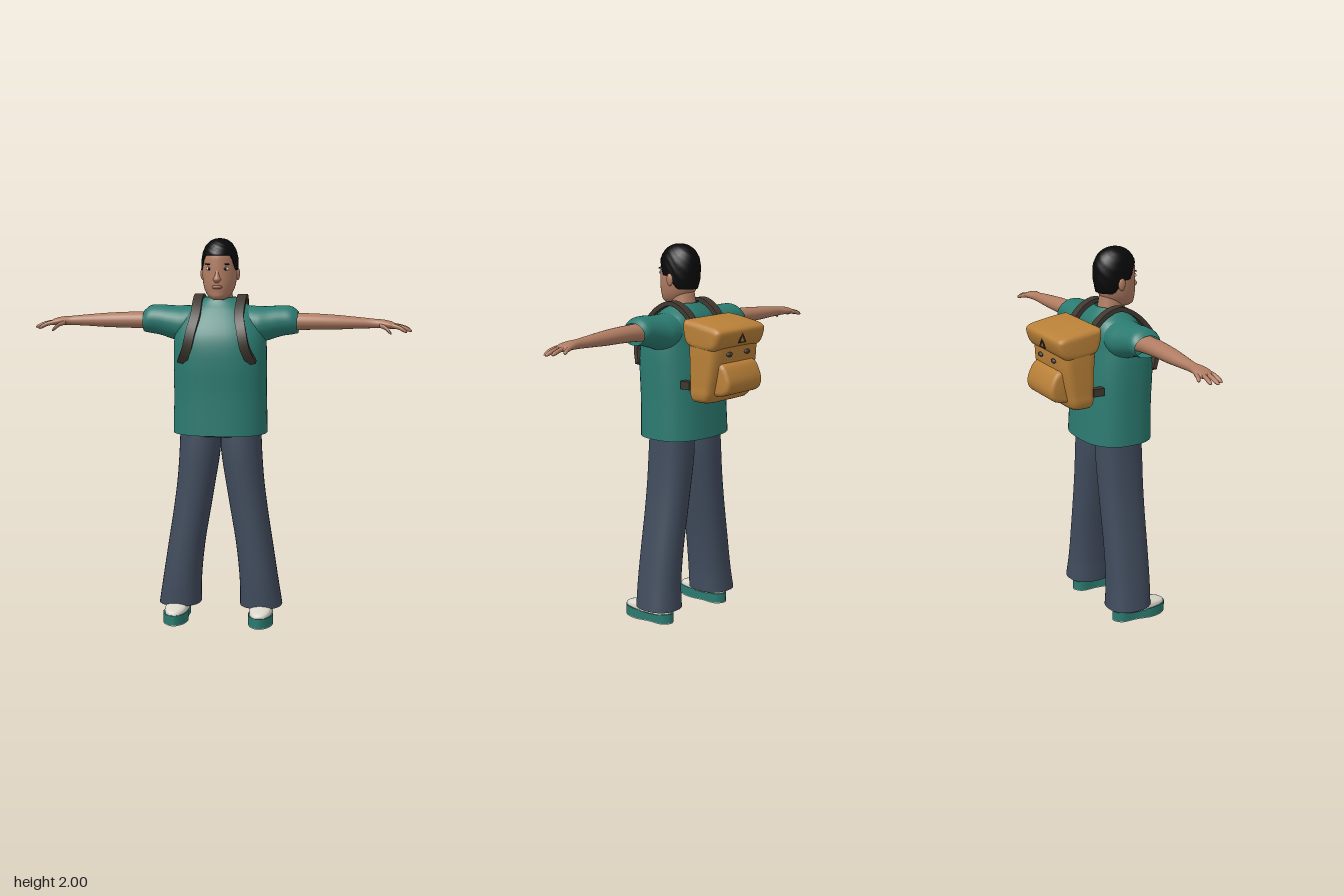
import * as THREE from 'three';
import { toCreasedNormals } from 'three/addons/utils/BufferGeometryUtils.js';

const material = (name, color, side = THREE.FrontSide) => {
  const m = new THREE.MeshStandardMaterial({ color, side });
  m.name = name;
  return m;
};

// Axis order per loft direction: [along, u, v]
const AXES = { x: [0, 2, 1], y: [1, 0, 2] };

// Smooth loft through superellipse sections [position, centreU, centreV, radiusU, radiusV, exponent]
function loft(axis, sections, { caps = true, sides = 32, steps = 4 } = {}) {
  const [A, U, V] = AXES[axis];
  const spline = new THREE.CubicInterpolant(
    new Float32Array(sections.map(s => s[0])),
    new Float32Array(sections.flatMap(s => [s[1], s[2], s[3], s[4], s[5] || 2])), 5);
  const pos = [], index = [];
  const put = (a, u, v) => { const p = []; p[A] = a; p[U] = u; p[V] = v; pos.push(...p); };
  const power = (c, e) => Math.sign(c) * Math.abs(c) ** (2 / e);
  const rows = (sections.length - 1) * steps;
  for (let i = 0; i <= rows; i++) {
    const k = Math.min(Math.floor(i / steps), sections.length - 2);
    const a = THREE.MathUtils.lerp(sections[k][0], sections[k + 1][0], i / steps - k);
    const [cu, cv, ru, rv, e] = spline.evaluate(a);
    for (let j = 0; j < sides; j++) {
      const t = (j / sides) * Math.PI * 2;
      put(a, cu + ru * power(Math.cos(t), e), cv + rv * power(Math.sin(t), e));
    }
  }
  for (let i = 0; i < rows; i++) for (let j = 0; j < sides; j++) {
    const a = i * sides + j, b = i * sides + (j + 1) % sides, c = a + sides, d = b + sides;
    index.push(a, c, b, b, c, d);
  }
  if (caps) for (const [row, s] of [[0, sections[0]], [rows, sections.at(-1)]]) {
    const centre = pos.length / 3;
    put(s[0], s[1], s[2]);
    for (let j = 0; j < sides; j++) {
      const a = row * sides + j, b = row * sides + (j + 1) % sides;
      index.push(centre, ...(row ? [b, a] : [a, b]));
    }
  }
  return finish(pos, index);
}

function finish(pos, index) {
  const g = new THREE.BufferGeometry();
  g.setAttribute('position', new THREE.Float32BufferAttribute(pos, 3));
  g.setIndex(index);
  g.computeVertexNormals();
  return g;
}

// Copy across x = 0 with the corner order reversed
function mirrored(geo) {
  const g = geo.index ? geo.toNonIndexed() : geo.clone();
  g.scale(-1, 1, 1);
  const n = g.attributes.position.count, index = [];
  for (let i = 0; i < n; i += 3) index.push(i, i + 2, i + 1);
  g.setIndex(index);
  return g;
}

const blob = (x, y, z, rx, ry, rz) => new THREE.SphereGeometry(1, 20, 14).scale(rx, ry, rz).translate(x, y, z);

// Rounded block from a side profile of [backward, up] points, centred on x
function sideBlock(points, width, bevel) {
  const curve = new THREE.CatmullRomCurve3(points.map(p => new THREE.Vector3(p[0], p[1], 0)), true, 'centripetal');
  const shape = new THREE.Shape(curve.getPoints(40).slice(0, -1).map(p => new THREE.Vector2(p.x, p.y)));
  const g = new THREE.ExtrudeGeometry(shape, { depth: width - 2 * bevel, bevelSize: bevel, bevelThickness: bevel, bevelOffset: -bevel, bevelSegments: 4 });
  return toCreasedNormals(g.translate(0, 0, bevel - width / 2).rotateY(Math.PI / 2), 0.7);
}

// Flat band swept over the shoulder, its face turned away from the chest
function strapBand(points, halfWidth, halfThick) {
  const curve = new THREE.CatmullRomCurve3(points.map(p => new THREE.Vector3(...p)));
  const pos = [], index = [], rows = 32;
  for (let i = 0; i <= rows; i++) {
    const p = curve.getPoint(i / rows), t = curve.getTangent(i / rows);
    const out = new THREE.Vector3(0, p.y - 1.5, p.z - 0.1).normalize();
    const w = t.clone().cross(out).normalize(), n = w.clone().cross(t);
    for (const [a, b] of [[1, 1], [-1, 1], [-1, -1], [1, -1]])
      pos.push(...p.clone().addScaledVector(w, a * halfWidth).addScaledVector(n, b * halfThick).toArray());
  }
  for (let i = 0; i < rows; i++) for (let j = 0; j < 4; j++) {
    const a = i * 4 + j, b = i * 4 + (j + 1) % 4;
    index.push(a, a + 4, b, b, a + 4, b + 4);
  }
  const e = rows * 4;
  index.push(0, 1, 2, 0, 2, 3, e, e + 2, e + 1, e, e + 3, e + 2);
  return toCreasedNormals(finish(pos, index), 0.7);
}

// Short hair: rings from the crown down to a hairline that varies round the head
function hairCap() {
  const pos = [], index = [], sides = 48, rows = 16;
  const ease = THREE.MathUtils.smoothstep;
  for (let i = 0; i <= rows; i++) for (let j = 0; j < sides; j++) {
    const a = (j / sides) * Math.PI * 2, front = Math.sin(a);
    const line = 1.77 + 0.07 * ease(front, -0.5, 0.1) + 0.075 * ease(front, 0.35, 0.75);
    const t = Math.min(i / (rows - 1), 1);
    const y = 2 - (2 - line) * t ** 1.6;
    const up = Math.max(0, (y - 1.87) / 0.13), down = Math.max(0, (1.87 - y) / 0.1);
    let r = (1 - up ** 2.3) ** (1 / 2.2) * (1 - 0.14 * down * down);
    r *= 1 + 0.012 * Math.sin(a * 9 + i * 2.1);
    if (i === rows) r *= 0.84;
    pos.push(0.094 * r * Math.cos(a), y, 0.127 + 0.117 * r * front);
  }
  for (let i = 0; i < rows; i++) for (let j = 0; j < sides; j++) {
    const a = i * sides + j, b = i * sides + (j + 1) % sides;
    index.push(a, b, a + sides, b, b + sides, a + sides);
  }
  return finish(pos, index);
}

export function createModel() {
  const model = new THREE.Group();
  model.name = 'backpacker';
  const skin = material('skin', 0xb07c62), hair = material('hair', 0x08080a);
  const teal = material('teal', 0x2b7a70, THREE.DoubleSide), denim = material('denim', 0x404b5c, THREE.DoubleSide);
  const cream = material('cream', 0xdbd7cc), canvas = material('canvas', 0xb98038);
  const webbing = material('webbing', 0x3f3830), lipTone = material('lips', 0x93594c), eyeWhite = material('eyeWhite', 0xe4e0da);

  const add = (name, geo, mat) => {
    const mesh = new THREE.Mesh(geo, mat);
    mesh.name = name;
    model.add(mesh);
  };
  const pair = (name, geo, mat) => {
    add(name + 'Left', geo, mat);
    add(name + 'Right', mirrored(geo), mat);
  };

  // Head and face
  add('head', loft('y', [[1.69, 0, 0.175, 0.028, 0.04], [1.7, 0, 0.165, 0.047, 0.066], [1.73, 0, 0.15, 0.07, 0.088],
    [1.77, 0, 0.14, 0.083, 0.102], [1.82, 0, 0.135, 0.089, 0.106], [1.87, 0, 0.13, 0.088, 0.11],
    [1.92, 0, 0.13, 0.082, 0.104], [1.96, 0, 0.13, 0.06, 0.08], [1.98, 0, 0.13, 0.035, 0.05]]), skin);
  add('neck', loft('y', [[1.6, 0, 0.09, 0.08, 0.07], [1.68, 0, 0.1, 0.065, 0.065], [1.76, 0, 0.11, 0.058, 0.062]]), skin);
  add('nose', loft('y', [[1.778, 0, 0.236, 0.01, 0.01], [1.793, 0, 0.238, 0.02, 0.025],
    [1.815, 0, 0.234, 0.012, 0.017], [1.845, 0, 0.228, 0.009, 0.01]], { sides: 16 }), skin);
  add('lips', blob(0, 1.756, 0.236, 0.027, 0.011, 0.01), lipTone);
  pair('ear', blob(0.09, 1.82, 0.12, 0.012, 0.033, 0.02), skin);
  pair('eye', blob(0.041, 1.848, 0.222, 0.018, 0.009, 0.009), eyeWhite);
  pair('iris', blob(0.041, 1.848, 0.229, 0.007, 0.008, 0.004), hair);
  pair('eyebrow', blob(0.042, 1.871, 0.224, 0.022, 0.004, 0.006), hair);
  add('hair', hairCap(), hair);

  // Loose shirt with short sleeves
  add('shirtBody', loft('y', [[1, 0, 0.1, 0.244, 0.191, 2.5], [1.2, 0, 0.105, 0.24, 0.185, 2.5], [1.4, 0, 0.115, 0.24, 0.18, 2.5],
    [1.5, 0, 0.115, 0.235, 0.166, 2.5], [1.58, 0, 0.1, 0.218, 0.145, 2.4], [1.64, 0, 0.09, 0.17, 0.117, 2.3],
    [1.67, 0, 0.09, 0.125, 0.095, 2.1], [1.7, 0, 0.097, 0.078, 0.072]], { caps: false, sides: 48 }), teal);
  pair('sleeve', loft('x', [[0.08, 0.09, 1.57, 0.1, 0.09], [0.2, 0.09, 1.56, 0.115, 0.094], [0.25, 0.09, 1.567, 0.104, 0.087],
    [0.32, 0.09, 1.58, 0.091, 0.078], [0.37, 0.088, 1.581, 0.087, 0.071], [0.4, 0.086, 1.572, 0.076, 0.056]], { caps: false }), teal);

  // Arms and hands
  pair('arm', loft('x', [[0.3, 0.095, 1.575, 0.055, 0.05], [0.4, 0.1, 1.577, 0.052, 0.044], [0.5, 0.1, 1.577, 0.049, 0.041],
    [0.6, 0.097, 1.575, 0.045, 0.037], [0.7, 0.093, 1.573, 0.036, 0.03], [0.79, 0.092, 1.57, 0.028, 0.024],
    [0.84, 0.094, 1.568, 0.04, 0.022], [0.88, 0.094, 1.562, 0.046, 0.018], [0.905, 0.094, 1.556, 0.036, 0.01]], { sides: 24 }), skin);
  // Each digit: start x, z, tip x, z, y
  [['thumb', 0.815, 0.115, 0.878, 0.168, 1.523], ['indexFinger', 0.87, 0.125, 0.955, 0.145, 1.532], ['middleFinger', 0.87, 0.105, 0.98, 0.11, 1.535],
    ['ringFinger', 0.87, 0.082, 0.972, 0.072, 1.54], ['littleFinger', 0.86, 0.063, 0.925, 0.037, 1.546]].forEach(([name, x, z, tx, tz, ty]) => {
    const at = (f, drop, r) => [x + (tx - x) * f, z + (tz - z) * f, 1.563 + (ty - 1.563) * drop, r, r * 0.95];
    pair(name, loft('x', [at(0, 0, 0.013), at(0.5, 0.3, 0.0115), at(0.9, 0.85, 0.009), at(1, 1, 0.003)], { sides: 12 }), skin);
  });

  // Wide trousers
  add('trouserWaist', loft('y', [[0.985, 0, 0.095, 0.206, 0.12, 2.5], [1.02, 0, 0.095, 0.209, 0.123, 2.5], [1.05, 0, 0.095, 0.205, 0.12, 2.5]]), denim);
  pair('trouserLeg', loft('y', [[0.08, 0.216, 0.094, 0.111, 0.123, 2.3], [0.2, 0.206, 0.1, 0.102, 0.12, 2.3], [0.4, 0.181, 0.1, 0.096, 0.119, 2.3],
    [0.6, 0.149, 0.098, 0.097, 0.12, 2.3], [0.75, 0.127, 0.097, 0.1, 0.122, 2.3], [0.9, 0.11, 0.096, 0.106, 0.124, 2.3],
    [1.02, 0.105, 0.095, 0.106, 0.12, 2.3]], { caps: false }), denim);

  // Shoes: teal sole, pale tread and upper
  const outline = new THREE.CatmullRomCurve3([[0.175, 0.03], [0.22, 0.002], [0.262, 0.03], [0.272, 0.12], [0.289, 0.21],
    [0.268, 0.285], [0.222, 0.32], [0.18, 0.285], [0.16, 0.21], [0.17, 0.12]].map(p => new THREE.Vector3(p[0], -p[1], 0)), true);
  const sole = new THREE.Shape(outline.getPoints(48).slice(0, -1).map(p => new THREE.Vector2(p.x, p.y)));
  const slab = (y, h) => toCreasedNormals(new THREE.ExtrudeGeometry(sole, { depth: h, bevelEnabled: false }).rotateX(-Math.PI / 2).translate(0, y, 0), 0.7);
  pair('shoeTread', slab(0, 0.004), cream);
  pair('shoeSole', slab(0.004, 0.051), teal);
  pair('shoeUpper', loft('y', [[0.05, 0.223, 0.162, 0.061, 0.152, 2.3], [0.075, 0.223, 0.155, 0.059, 0.142, 2.3],
    [0.095, 0.222, 0.115, 0.056, 0.1], [0.115, 0.22, 0.09, 0.052, 0.075], [0.14, 0.218, 0.08, 0.045, 0.06]]), cream);

  // Backpack
  add('packBody', loft('y', [[1.218, 0, -0.147, 0.162, 0.058, 5], [1.235, 0, -0.15, 0.178, 0.068, 5], [1.3, 0, -0.157, 0.184, 0.08, 5],
    [1.42, 0, -0.167, 0.187, 0.094, 5], [1.52, 0, -0.167, 0.187, 0.1, 5], [1.59, 0, -0.165, 0.18, 0.1, 5]], { sides: 48 }), canvas);
  add('packFlap', sideBlock([[0.055, 1.635], [0.1, 1.636], [0.2, 1.622], [0.278, 1.605], [0.297, 1.588], [0.29, 1.545],
    [0.268, 1.505], [0.235, 1.488], [0.08, 1.51], [0.055, 1.56]], 0.386, 0.03), canvas);
  add('packPocket', sideBlock([[0.2, 1.262], [0.28, 1.262], [0.311, 1.285], [0.32, 1.325], [0.305, 1.375],
    [0.275, 1.418], [0.24, 1.425], [0.2, 1.4]], 0.276, 0.022), canvas);
  add('flapLoop', new THREE.TorusGeometry(0.03, 0.005, 6, 3).rotateZ(Math.PI / 2).translate(0, 1.54, -0.294), webbing);
  pair('packBuckle', blob(0.07, 1.468, -0.268, 0.02, 0.012, 0.012), webbing);
  pair('lowerStrap', new THREE.BoxGeometry(0.035, 0.042, 0.06).translate(0.172, 1.3, -0.07), webbing);
  pair('shoulderStrap', strapBand([[0.105, 1.57, -0.075], [0.106, 1.635, -0.04], [0.11, 1.685, 0.02], [0.112, 1.703, 0.085], [0.112, 1.678, 0.155],
    [0.112, 1.61, 0.235], [0.13, 1.53, 0.282], [0.148, 1.45, 0.29], [0.18, 1.375, 0.25]], 0.024, 0.012), webbing);

  return model;
}
